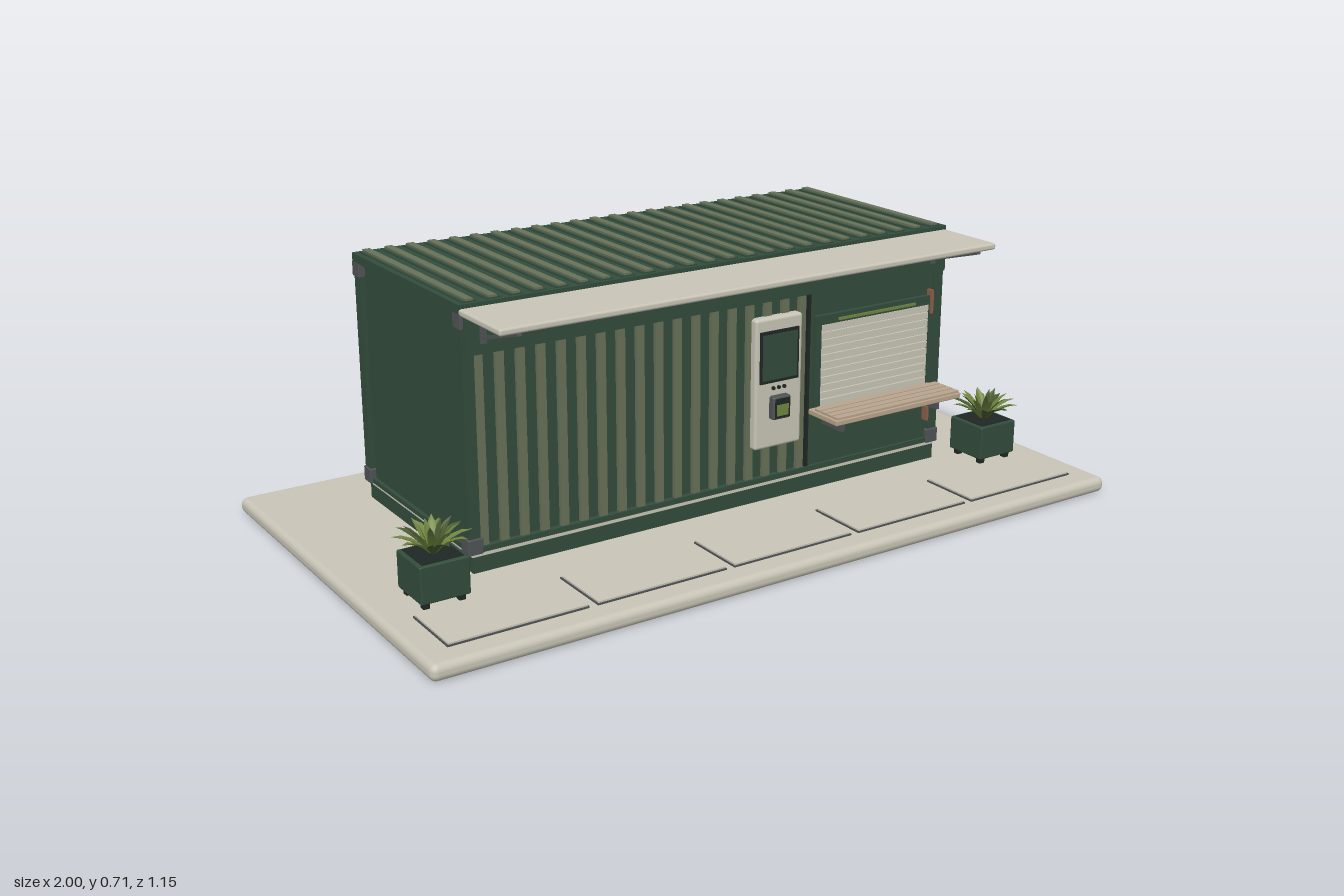
import * as THREE from 'three';
import { RoundedBoxGeometry } from 'three/addons/geometries/RoundedBoxGeometry.js';

const mat = (name, color, side = THREE.FrontSide) => {
  const m = new THREE.MeshStandardMaterial({ color, side });
  m.name = name;
  return m;
};
const M = {
  stone: mat('paleStone', 0xc8c4b6),
  green: mat('darkGreen', 0x324c3c),
  olive: mat('oliveGrey', 0x677158),
  wood: mat('paleWood', 0xb8a48c),
  steel: mat('steelGrey', 0x505356),
  dark: mat('nearBlack', 0x1f2724),
  leaf: mat('leafGreen', 0x70853f, THREE.DoubleSide),
  leafDark: mat('deepLeafGreen', 0x47592f, THREE.DoubleSide),
  copper: mat('copper', 0x8c5f48),
};

// Box given by its limits on each axis
function box(parent, name, m, x0, x1, y0, y1, z0, z1, radius = 0) {
  const w = x1 - x0, h = y1 - y0, d = z1 - z0;
  const geo = radius ? new RoundedBoxGeometry(w, h, d, 3, radius) : new THREE.BoxGeometry(w, h, d);
  const mesh = new THREE.Mesh(geo, m);
  mesh.position.set((x0 + x1) / 2, (y0 + y1) / 2, (z0 + z1) / 2);
  mesh.name = name;
  parent.add(mesh);
  return mesh;
}

function group(parent, name) {
  const g = new THREE.Group();
  g.name = name;
  parent.add(g);
  return g;
}

// Pointed blade that arches away from the plant's centre
function leafGeometry(length, lean, width) {
  const geo = new THREE.PlaneGeometry(1, 1, 2, 4);
  const p = geo.attributes.position;
  for (let i = 0; i < p.count; i++) {
    const t = p.getY(i) + 0.5, s = p.getX(i);
    const w = width * (0.45 + 1.6 * t) * (1 - t * t);
    const a = lean * (0.65 + 0.35 * t);
    const fold = Math.abs(s) * w * 0.5;
    p.setXYZ(i, s * w, length * t * Math.cos(a) + fold, 0.008 + length * t * Math.sin(a));
  }
  geo.computeVertexNormals();
  return geo;
}

function planter(parent, x) {
  const g = group(parent, 'planter');
  g.position.set(x, 0, 0.26);
  const r = 0.0625;
  for (const sx of [-1, 1]) for (const sz of [-1, 1]) {
    box(g, 'planterFoot', M.dark, sx * 0.045 - 0.008, sx * 0.045 + 0.008, 0.04, 0.058,
      sz * 0.045 - 0.008, sz * 0.045 + 0.008);
  }
  box(g, 'planterBox', M.green, -r, r, 0.057, 0.15, -r, r, 0.004);
  box(g, 'soil', M.dark, -r + 0.01, r - 0.01, 0.148, 0.152, -r + 0.01, r - 0.01);
  const rings = [[10, 0.098, 1.05, 0.024], [8, 0.095, 0.68, 0.022], [5, 0.088, 0.3, 0.018]];
  rings.forEach(([n, length, lean, width], k) => {
    for (let i = 0; i < n; i++) {
      const scale = 1 - 0.1 * ((i * 3 + k) % 3) / 2;
      const leaf = new THREE.Mesh(leafGeometry(length * scale, lean, width), (i + k) % 3 ? M.leaf : M.leafDark);
      leaf.position.y = 0.15;
      leaf.rotation.y = (i / n) * Math.PI * 2 + k * 0.35;
      leaf.name = 'leaf';
      g.add(leaf);
    }
  });
}

function shell(parent) {
  const g = group(parent, 'container');
  box(g, 'plinth', M.green, -0.71, 0.71, 0.038, 0.083, -0.385, 0.2);
  box(g, 'plinthTrim', M.stone, -0.712, 0.712, 0.083, 0.092, -0.383, 0.2);
  box(g, 'body', M.green, -0.706, 0.706, 0.09, 0.685, -0.376, 0.185);
  box(g, 'backPanel', M.olive, -0.69, 0.69, 0.105, 0.665, -0.381, -0.375);
  // Corner posts, long rails and end rails
  for (const s of [-1, 1]) {
    for (const z of [-0.375, 0.185]) {
      box(g, 'cornerPost', M.green, s * 0.704 - 0.015, s * 0.704 + 0.015, 0.092, 0.69, z - 0.016, z + 0.016);
      for (const y of [0.11, 0.66]) {
        box(g, 'cornerCasting', M.steel, s * 0.703 - 0.02, s * 0.703 + 0.02, y - 0.02, y + 0.02,
          z - 0.02, z + 0.02, 0.003);
      }
    }
    box(g, 'endBottomRail', M.green, s * 0.706 - 0.01, s * 0.706 + 0.01, 0.092, 0.104, -0.375, 0.185);
    box(g, 'endTopRail', M.green, s * 0.708 - 0.015, s * 0.708 + 0.015, 0.678, 0.7, -0.39, 0.2);
  }
  for (const z of [-0.379, 0.189]) {
    box(g, 'longBottomRail', M.green, -0.7, 0.7, 0.092, 0.106, z - 0.012, z + 0.012);
    box(g, 'longTopRail', M.green, -0.72, 0.72, 0.672, 0.7, z - 0.013, z + 0.013);
  }
  // Corrugated roof
  box(g, 'roofSheet', M.green, -0.715, 0.715, 0.68, 0.699, -0.388, 0.198);
  const ribs = 24;
  for (let i = 0; i < ribs; i++) {
    const x = -0.69 + (1.38 * i) / (ribs - 1);
    box(g, 'roofRib', M.green, x - 0.018, x + 0.018, 0.698, 0.703, -0.38, 0.192);
    box(g, 'roofRibCap', M.olive, x - 0.01, x + 0.01, 0.702, 0.708, -0.378, 0.19);
  }
  // Corrugated front wall
  const count = 18;
  for (let i = 0; i < count; i++) {
    const x = -0.675 + i * 0.0545;
    box(g, 'wallRib', M.olive, x - 0.011, x + 0.011, 0.106, 0.58, 0.184, 0.195);
  }
  box(g, 'fascia', M.green, -0.715, 0.715, 0.58, 0.672, 0.184, 0.212);
}

function awning(parent) {
  const g = group(parent, 'awning');
  box(g, 'awningBoard', M.stone, -0.722, 0.722, 0.673, 0.69, 0.195, 0.395, 0.006);
  for (const s of [-1, 1]) {
    const strut = box(g, 'awningStrut', M.steel, -0.006, 0.006, -0.004, 0.004, -0.092, 0.092);
    strut.position.set(s * 0.67, 0.643, 0.298);
    strut.rotation.x = -0.29;
    box(g, 'strutPlate', M.steel, s * 0.67 - 0.008, s * 0.67 + 0.008, 0.605, 0.665, 0.211, 0.216);
  }
}

function kiosk(parent) {
  const g = group(parent, 'orderKiosk');
  box(g, 'kioskPanel', M.stone, 0.09, 0.237, 0.19, 0.538, 0.184, 0.216, 0.008);
  box(g, 'screenFrame', M.dark, 0.102, 0.222, 0.368, 0.505, 0.21, 0.221);
  box(g, 'screen', M.green, 0.108, 0.216, 0.376, 0.497, 0.22, 0.2225);
  for (const x of [0.145, 0.162, 0.179]) {
    const dot = new THREE.Mesh(new THREE.CylinderGeometry(0.005, 0.005, 0.006, 12), M.dark);
    dot.rotation.x = Math.PI / 2;
    dot.position.set(x, 0.352, 0.218);
    dot.name = 'kioskButton';
    g.add(dot);
  }
  box(g, 'cardReader', M.steel, 0.134, 0.19, 0.27, 0.332, 0.21, 0.235, 0.006);
  box(g, 'readerFace', M.dark, 0.139, 0.185, 0.275, 0.327, 0.233, 0.2365);
  box(g, 'readerDisplay', M.leaf, 0.144, 0.18, 0.281, 0.311, 0.236, 0.238);
}

function servingHatch(parent) {
  const g = group(parent, 'servingHatch');
  box(g, 'hatchWall', M.green, 0.275, 0.7, 0.1, 0.58, 0.184, 0.193);
  box(g, 'hatchPost', M.dark, 0.268, 0.276, 0.1, 0.58, 0.184, 0.198);
  // Frame around the roller shutter
  box(g, 'frameTop', M.green, 0.288, 0.69, 0.49, 0.515, 0.19, 0.206);
  for (const x of [0.288, 0.672]) box(g, 'frameSide', M.green, x, x + 0.018, 0.27, 0.49, 0.19, 0.206);
  box(g, 'lightStrip', M.leaf, 0.36, 0.62, 0.496, 0.503, 0.204, 0.21);
  box(g, 'shutterBacking', M.wood, 0.306, 0.672, 0.265, 0.49, 0.19, 0.196);
  const slats = 11, step = 0.0204;
  for (let i = 0; i < slats; i++) {
    const y = 0.266 + i * step;
    box(g, 'shutterSlat', M.stone, 0.306, 0.672, y, y + step - 0.0025, 0.192, 0.202);
  }
  // Counter with planks
  box(g, 'counter', M.wood, 0.28, 0.705, 0.248, 0.263, 0.19, 0.31, 0.003);
  for (let i = 0; i < 4; i++) {
    const z = 0.212 + i * 0.025;
    box(g, 'counterPlank', M.wood, 0.285, 0.7, 0.262, 0.269, z, z + 0.02);
  }
  for (const x of [0.33, 0.655]) box(g, 'counterBracket', M.steel, x - 0.006, x + 0.006, 0.215, 0.25, 0.19, 0.275);
  for (const [y0, y1] of [[0.465, 0.53], [0.16, 0.2]]) {
    box(g, 'hatchHinge', M.copper, 0.673, 0.681, y0, y1, 0.19, 0.212);
  }
}

export function createModel() {
  const model = new THREE.Group();
  model.name = 'containerKiosk';
  box(model, 'groundSlab', M.stone, -1, 1, 0, 0.042, -0.575, 0.575, 0.018);
  // Row of paving slabs with a shadow-gap edge
  for (let i = -2; i <= 2; i++) {
    const x = i * 0.3765;
    box(model, 'pavingEdge', M.steel, x - 0.177, x + 0.177, 0.04, 0.046, 0.335, 0.508);
    box(model, 'pavingSlab', M.stone, x - 0.174, x + 0.174, 0.04, 0.05, 0.338, 0.505);
  }
  shell(model);
  awning(model);
  kiosk(model);
  servingHatch(model);
  for (const s of [-1, 1]) planter(model, s * 0.84);
  return model;
}
